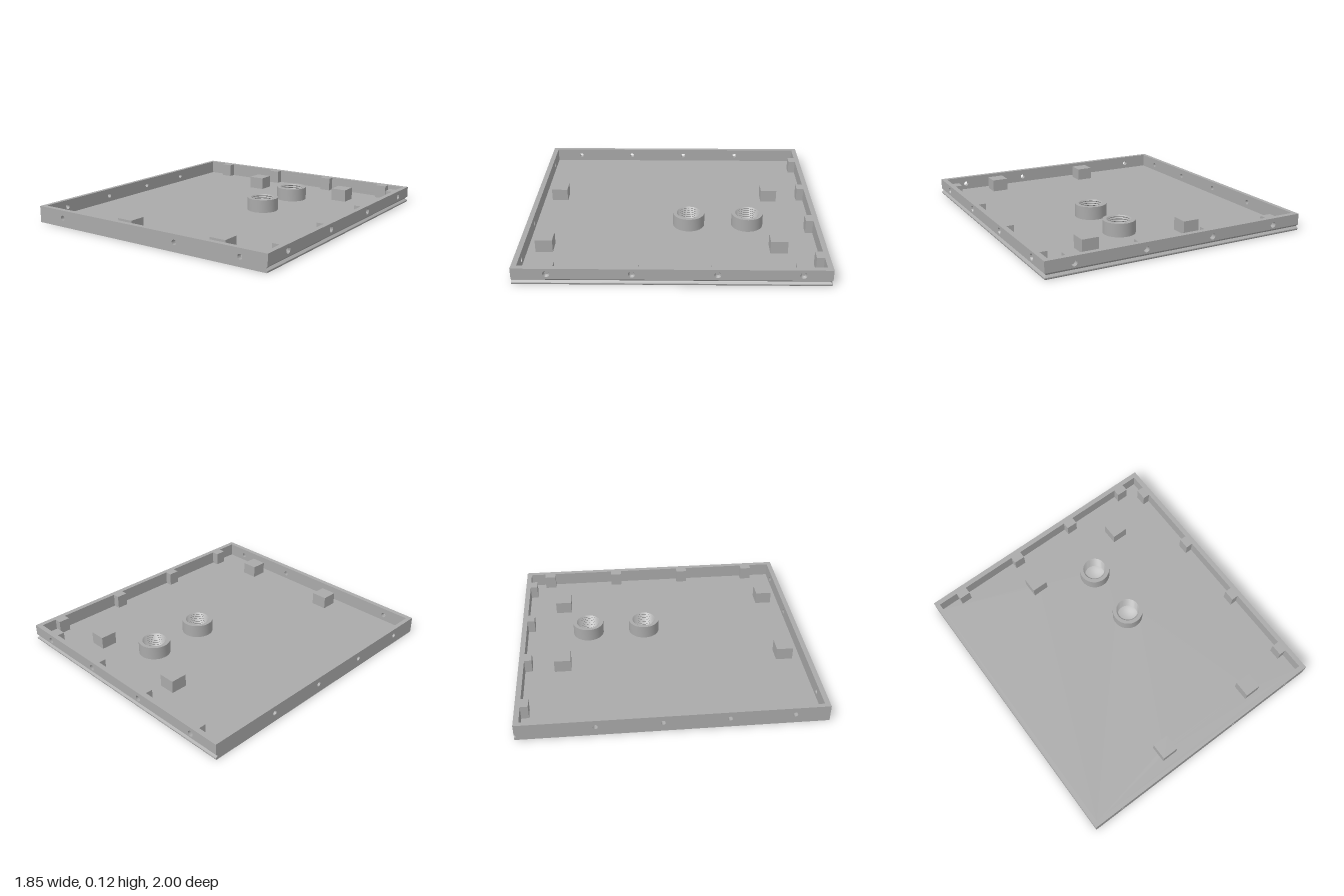
import * as THREE from 'three';
import { toCreasedNormals } from 'three/addons/utils/BufferGeometryUtils.js';

const X = 0.925, Z = 1, H = 0.115;          // outer half sizes and height
const IN = { x0: -0.895, x1: 0.89, z0: -0.965, z1: 0.965 }; // inside of the walls
const FLOOR = 0.02, CURB = 0.04;

export function createModel() {
  const model = new THREE.Group();
  model.name = 'tray';
  const grey = new THREE.MeshStandardMaterial({ color: 0xaaaaaa, side: THREE.DoubleSide });
  grey.name = 'grey';

  const add = (name, geo, x = 0, y = 0, z = 0) => {
    const mesh = new THREE.Mesh(toCreasedNormals(geo, 0.5), grey);
    mesh.name = name;
    mesh.position.set(x, y, z);
    model.add(mesh);
    return mesh;
  };
  const rectShape = (x0, y0, x1, y1) => new THREE.Shape([
    new THREE.Vector2(x0, y0), new THREE.Vector2(x1, y0),
    new THREE.Vector2(x1, y1), new THREE.Vector2(x0, y1)]);
  const punch = (shape, x, y, r) => {
    const hole = new THREE.Path();
    hole.absarc(x, y, r, 0, Math.PI * 2, true);
    shape.holes.push(hole);
  };
  const extrude = (shape, depth) =>
    new THREE.ExtrudeGeometry(shape, { depth, bevelEnabled: false, curveSegments: 16 });

  const bosses = [[0.18, -0.52], [0.18, -0.11]];
  const pads = [[-0.225, -0.705], [0.515, -0.705], [-0.225, 0.85], [0.515, 0.85]];
  const backX = [-0.71, -0.225, 0.258, 0.738];
  const rightZ = [-0.815, -0.285, 0.248, 0.778];

  // Floor plate with boss openings and screw holes under the pads
  const floor = rectShape(IN.x0, -IN.z1, IN.x1, -IN.z0);
  bosses.forEach(([x, z]) => punch(floor, x, -z, 0.084));
  pads.forEach(([x, z]) => punch(floor, x, -z, 0.015));
  add('floor', extrude(floor, FLOOR).rotateX(-Math.PI / 2));

  // Base rim: rectangular loops, grooved along the +x and -z sides
  const outer = (y, inset) => [[-X, y, Z], [X - inset, y, Z], [X - inset, y, -Z + inset], [-X, y, -Z + inset]];
  const inner = y => [[IN.x0, y, IN.z1], [IN.x1, y, IN.z1], [IN.x1, y, IN.z0], [IN.x0, y, IN.z0]];
  const loops = [inner(0), outer(0, 0.004), outer(0.007, 0), outer(0.013, 0),
    outer(0.025, 0.015), outer(CURB, 0), inner(CURB), inner(FLOOR)];
  const pos = [];
  for (let i = 0; i < loops.length - 1; i++) {
    for (let j = 0; j < 4; j++) {
      const k = (j + 1) % 4;
      const a = loops[i][j], b = loops[i][k], c = loops[i + 1][k], d = loops[i + 1][j];
      pos.push(...a, ...b, ...c, ...a, ...c, ...d);
    }
  }
  const rim = new THREE.BufferGeometry();
  rim.setAttribute('position', new THREE.Float32BufferAttribute(pos, 3));
  rim.computeVertexNormals();
  add('grooveRim', rim);

  // Walls with screw holes
  const wall = (u0, u1, holes, y, r, depth) => {
    const shape = rectShape(u0, CURB, u1, H);
    holes.forEach(u => punch(shape, u, y, r));
    return extrude(shape, depth);
  };
  const sideways = geo => geo.rotateY(-Math.PI / 2);
  add('frontWall', wall(-X, X, [-0.705, 0.258, 0.738], 0.062, 0.017, Z - IN.z1), 0, 0, IN.z1);
  add('backWall', wall(-X, X, backX, 0.07, 0.02, Z + IN.z0), 0, 0, -Z);
  add('rightWall', sideways(wall(IN.z0, IN.z1, rightZ, 0.077, 0.022, X - IN.x1)), X);
  add('leftWall', sideways(wall(IN.z0, IN.z1, [-0.495, -0.07, 0.355, 0.775], 0.065, 0.016, X + IN.x0)), IN.x0);

  // Countersunk seats in the right wall
  rightZ.forEach(z => {
    const seat = new THREE.CylinderGeometry(0.013, 0.022, 0.015, 24, 1, true).rotateZ(Math.PI / 2);
    add('countersink', seat, X - 0.0075, 0.077, z);
  });

  // Screw tabs inside the back and right walls
  const tabH = H - FLOOR, tabY = FLOOR + tabH / 2;
  backX.forEach(x => add('backTab', new THREE.BoxGeometry(0.08, tabH, 0.05), x, tabY, IN.z0 + 0.025));
  rightZ.forEach(z => add('rightTab', new THREE.BoxGeometry(0.05, tabH, 0.08), IN.x1 - 0.025, tabY, z));

  // Square mounting pads
  const padH = 0.088;
  pads.forEach(([x, z]) => add('mountingPad', new THREE.BoxGeometry(0.115, padH, 0.115), x, FLOOR + padH / 2, z));

  // Round bosses with ridged bores
  const top = 0.112, turns = 7;
  const profile = [[0.11, FLOOR], [0.11, top], [0.084, top]];
  for (let i = 0; i < turns; i++) {
    const y = top * (1 - i / turns), step = top / turns;
    profile.push([0.075, y - step / 2], [0.084, y - step]);
  }
  const points = profile.map(([r, y]) => new THREE.Vector2(r, Math.max(0, y)));
  bosses.forEach(([x, z]) => add('threadedBoss', new THREE.LatheGeometry(points, 48), x, 0, z));

  return model;
}
